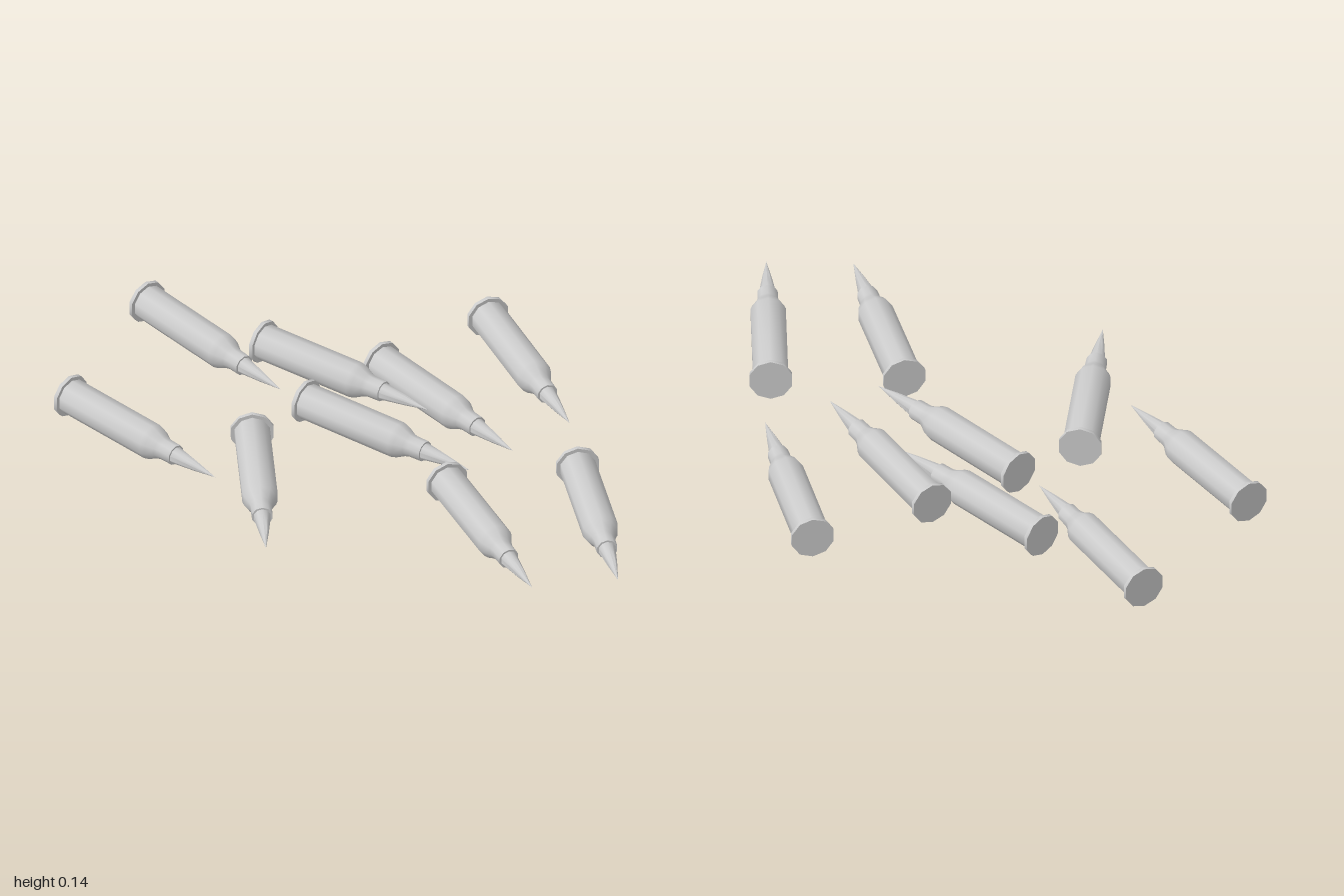
import * as THREE from 'three';
import { toCreasedNormals } from 'three/addons/utils/BufferGeometryUtils.js';

const SIDES = 10;

// Revolve a profile of [radius, distance] pairs, then lay it along +z
function turned(profile) {
  const points = profile.map(([r, d]) => new THREE.Vector2(r, d));
  const geometry = new THREE.LatheGeometry(points, SIDES).rotateX(Math.PI / 2);
  return toCreasedNormals(geometry, 0.7);
}

export function createModel() {
  const model = new THREE.Group();
  model.name = 'scatteredCartridges';
  const material = new THREE.MeshStandardMaterial({ color: 0xcccccc });

  // Shared parts, from the base towards the tip
  const parts = {
    rim: turned([[0, 0], [0.069, 0], [0.069, 0.013], [0.057, 0.013]]),
    casing: turned([[0.057, 0.013], [0.057, 0.36], [0.052, 0.378], [0.038, 0.405],
      [0.034, 0.42], [0.033, 0.465], [0.026, 0.465]]),
    bullet: turned([[0.028, 0.46], [0.015, 0.55], [0, 0.636]]),
  };

  // Base centre x, z and tip x, z of each cartridge
  const placements = [
    [-0.259, -0.977, -0.079, -0.38],
    [-0.682, -0.61, -0.457, -0.03],
    [-0.021, -0.633, 0.294, -0.083],
    [-0.032, -0.288, 0.272, 0.256],
    [0.267, -0.385, 0.439, 0.213],
    [0.669, -0.475, 0.664, 0.16],
    [-0.246, -0.202, -0.463, 0.388],
    [0.19, 0.287, 0.196, 0.92],
    [0.593, 0.375, 0.455, 0.993],
  ];

  placements.forEach(([x, z, tipX, tipZ], i) => {
    const cartridge = new THREE.Group();
    cartridge.name = `cartridge${i + 1}`;
    for (const [name, geometry] of Object.entries(parts)) {
      const mesh = new THREE.Mesh(geometry, material);
      mesh.name = name;
      cartridge.add(mesh);
    }
    cartridge.position.set(x, 0.07, z);
    cartridge.rotation.y = Math.atan2(tipX - x, tipZ - z);
    model.add(cartridge);
  });
  return model;
}
